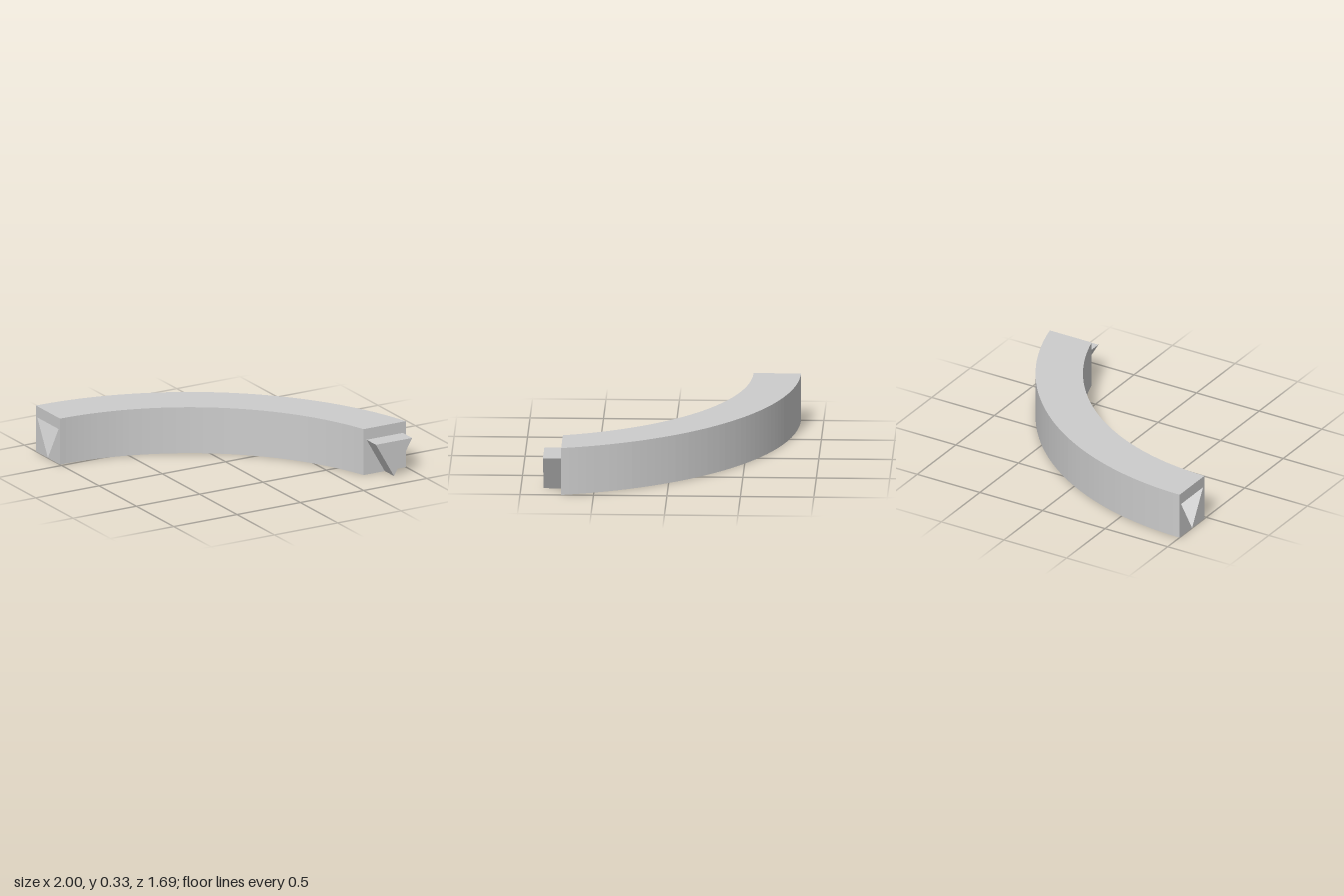
import * as THREE from 'three';

const HEIGHT = 0.33;
const CENTRE_Z = 1.215, OUTER_R = 2.06, INNER_R = 1.737;
const START_X = -1, CUT_Z = 0.72, FRONT_Z = 0.845;
const SEGMENTS = 48;
const SOCKET_DEPTH = 0.16;

// Non-indexed flat-faced geometry from counter-clockwise corner loops
function facesGeometry(faces) {
  const pos = [];
  for (const f of faces) {
    for (let i = 1; i < f.length - 1; i++) pos.push(...f[0], ...f[i], ...f[i + 1]);
  }
  const g = new THREE.BufferGeometry();
  g.setAttribute('position', new THREE.Float32BufferAttribute(pos, 3));
  g.computeVertexNormals();
  return g;
}

// Point on an arc that starts at the left end and stops at the straight cut
function arcPoint(radius, t, y) {
  const a = t * Math.acos((CENTRE_Z - CUT_Z) / radius);
  return [START_X + radius * Math.sin(a), y, CENTRE_Z - radius * Math.cos(a)];
}

// Downward-pointing triangle shared by the peg and the socket
const triangle = (c) => [[c - 0.143, 0.25], [c + 0.143, 0.25], [c, 0.001]];

export function createModel() {
  const group = new THREE.Group();
  const grey = new THREE.MeshStandardMaterial({ color: 0xcccccc });
  grey.name = 'light grey';
  const add = (name, geometry) => {
    const mesh = new THREE.Mesh(geometry, grey);
    mesh.name = name;
    group.add(mesh);
    return mesh;
  };

  // Curved bar: top, bottom, outer and inner walls, and the cut end
  const faces = [];
  const station = (t) => [
    arcPoint(OUTER_R, t, 0), arcPoint(OUTER_R, t, HEIGHT),
    arcPoint(INNER_R, t, 0), arcPoint(INNER_R, t, HEIGHT),
  ];
  for (let i = 0; i < SEGMENTS; i++) {
    const [ob, ot, ib, it] = station(i / SEGMENTS);
    const [ob2, ot2, ib2, it2] = station((i + 1) / SEGMENTS);
    faces.push([ot, it, it2, ot2], [ob, ob2, ib2, ib], [ob, ot, ot2, ob2], [ib, ib2, it2, it]);
  }
  const [ob, ot, ib, it] = station(1);
  faces.push([ib, ob, ot, it]);
  add('curvedBar', facesGeometry(faces));

  // Start face with a triangular opening
  const z0 = CENTRE_Z - OUTER_R, z1 = CENTRE_Z - INNER_R;
  const opening = triangle((z0 + z1) / 2);
  const end = new THREE.Shape([[z0, 0], [z1, 0], [z1, HEIGHT], [z0, HEIGHT]].map((p) => new THREE.Vector2(...p)));
  end.holes.push(new THREE.Path(opening.map((p) => new THREE.Vector2(...p))));
  const endFace = add('socketEndFace', new THREE.ShapeGeometry(end).rotateY(-Math.PI / 2));
  endFace.position.x = START_X;

  // Socket walls and its back, facing inwards
  const rim = opening.map(([z, y]) => [START_X, y, z]);
  const back = opening.map(([z, y]) => [START_X + SOCKET_DEPTH, y, z]);
  const socket = rim.map((p, i) => [p, back[i], back[(i + 1) % 3], rim[(i + 1) % 3]]);
  socket.push([back[0], back[2], back[1]]);
  add('socket', facesGeometry(socket));

  // Triangular peg on the cut end
  const pegShape = new THREE.Shape(triangle(0.832).map((p) => new THREE.Vector2(...p)));
  const peg = add('peg', new THREE.ExtrudeGeometry(pegShape, { depth: FRONT_Z - CUT_Z, bevelEnabled: false }));
  peg.position.z = CUT_Z;

  return group;
}
